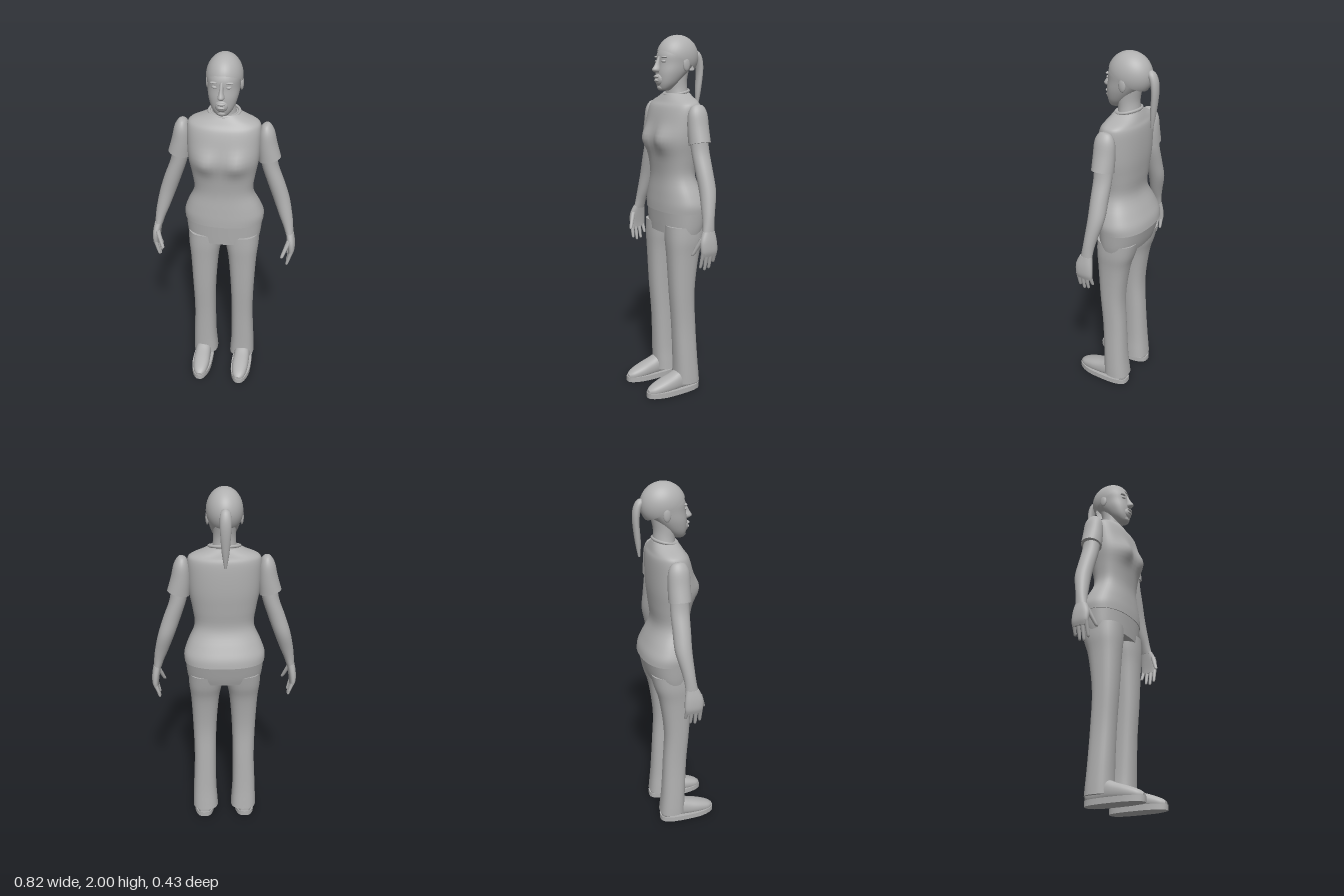
import * as THREE from 'three';

const grey = new THREE.MeshStandardMaterial({ color: 0xb0b0b0, side: THREE.DoubleSide });
grey.name = 'plain grey';

const spline = (a, b, c, d, t) =>
  b + 0.5 * t * (c - a + t * (2 * a - 5 * b + 4 * c - d + t * (3 * (b - c) + d - a)));

// Smooth capped body through oval sections [y, xMin, xMax, zMin, zMax], listed upwards.
function loft(rows, { sides = 28, steps = 4, power = 2, tweak } = {}) {
  const pos = [], idx = [], rings = [];
  const at = (i) => rows[Math.max(0, Math.min(rows.length - 1, i))];
  for (let i = 0; i < rows.length - 1; i++)
    for (let k = 0; k < steps; k++)
      rings.push(at(i).map((_, n) => spline(at(i - 1)[n], at(i)[n], at(i + 1)[n], at(i + 2)[n], k / steps)));
  rings.push(at(rows.length - 1));
  const v = new THREE.Vector3();
  const round = (c) => Math.sign(c) * Math.abs(c) ** (2 / power);
  const addRing = ([y, x0, x1, z0, z1]) => {
    for (let j = 0; j < sides; j++) {
      const a = (j / sides) * Math.PI * 2;
      v.set((x0 + x1) / 2 + ((x1 - x0) / 2) * round(Math.cos(a)), y,
        (z0 + z1) / 2 + ((z1 - z0) / 2) * round(Math.sin(a)));
      if (tweak) tweak(v);
      pos.push(v.x, v.y, v.z);
    }
  };
  rings.forEach(addRing);
  for (let i = 0; i < rings.length - 1; i++)
    for (let j = 0; j < sides; j++) {
      const a = i * sides + j, b = i * sides + ((j + 1) % sides);
      idx.push(a, a + sides, b, b, a + sides, b + sides);
    }
  // Separate cap rings keep the end edges sharp
  [rings[0], rings[rings.length - 1]].forEach((r, top) => {
    const start = pos.length / 3;
    addRing(r);
    v.set((r[1] + r[2]) / 2, r[0], (r[3] + r[4]) / 2);
    if (tweak) tweak(v);
    pos.push(v.x, v.y, v.z);
    for (let j = 0; j < sides; j++) {
      const a = start + j, b = start + ((j + 1) % sides), c = start + sides;
      if (top) idx.push(c, b, a); else idx.push(c, a, b);
    }
  });
  const g = new THREE.BufferGeometry();
  g.setAttribute('position', new THREE.Float32BufferAttribute(pos, 3));
  g.setIndex(idx);
  g.computeVertexNormals();
  return g;
}

// Ovals centred on x: [y, halfWidth, zMin, zMax]
const centred = (rows) => rows.map(([y, w, z0, z1]) => [y, -w, w, z0, z1]);
const flip = (rows, s) => (s > 0 ? rows : rows.map(([y, a, b, c, d]) => [y, -b, -a, c, d]));

export function createModel() {
  const model = new THREE.Group();
  const add = (name, geometry, parent = model) => {
    const m = new THREE.Mesh(geometry, grey);
    m.name = name;
    parent.add(m);
    return m;
  };
  const ball = (name, p, r, parent) =>
    add(name, new THREE.SphereGeometry(1, 20, 14).scale(...r).translate(...p), parent);

  // Shirt with bust
  add('shirt', loft(centred([
    [1.055, 0.22, -0.195, 0.085], [1.1, 0.221, -0.187, 0.084], [1.16, 0.2, -0.16, 0.08],
    [1.25, 0.162, -0.122, 0.075], [1.35, 0.172, -0.13, 0.086], [1.45, 0.19, -0.14, 0.1],
    [1.55, 0.195, -0.142, 0.086], [1.62, 0.194, -0.138, 0.066], [1.65, 0.178, -0.128, 0.045],
    [1.675, 0.12, -0.12, 0.03], [1.695, 0.08, -0.112, 0.018],
  ]), {
    sides: 48, power: 2.3,
    tweak: (v) => {
      const d = ((Math.abs(v.x) - 0.085) / 0.06) ** 2 + ((v.y - 1.45) / 0.06) ** 2;
      if (v.z > 0) v.z += 0.028 * Math.exp(-d);
    },
  }));
  add('collar', new THREE.TorusGeometry(0.08, 0.008, 8, 36).rotateX(Math.PI / 2)
    .scale(1, 1, 0.82).rotateX(0.2).translate(0, 1.697, -0.046));

  // Trousers: hips, then legs
  add('hips', loft(centred([
    [0.935, 0.2, -0.155, 0.073], [0.98, 0.208, -0.17, 0.076], [1.06, 0.216, -0.19, 0.081],
  ]), { sides: 48, power: 2.3 }));

  for (const s of [1, -1]) {
    const side = s > 0 ? 'left' : 'right';
    add(side + 'Leg', loft(flip([
      [0.05, 0.04, 0.19, -0.12, 0.03], [0.1, 0.043, 0.189, -0.115, 0.03], [0.2, 0.049, 0.185, -0.106, 0.032],
      [0.4, 0.05, 0.177, -0.095, 0.04], [0.6, 0.045, 0.181, -0.087, 0.055], [0.8, 0.03, 0.19, -0.112, 0.066],
      [0.9, 0.012, 0.2, -0.142, 0.072], [0.98, 0.002, 0.2, -0.16, 0.072],
    ], s), { power: 2.4 }));

    // Shoe: flat sole and an upper lofted from heel to toe
    const shoe = new THREE.Group();
    shoe.name = side + 'Shoe';
    model.add(shoe);
    const taper = (v) => {
      const t = Math.max(0, (v.z - 0.08) / 0.135);
      v.x += (s * 0.118 - v.x) * 0.3 * t * t;
    };
    add('sole', loft(flip([
      [0, 0.062, 0.184, -0.12, 0.214], [0.03, 0.062, 0.184, -0.12, 0.214],
    ], s), { power: 2.9, steps: 1, tweak: taper }), shoe);
    add('upper', loft(flip([
      [-0.112, 0.095, 0.15, -0.1, -0.02], [-0.09, 0.078, 0.168, -0.12, -0.01], [0, 0.075, 0.17, -0.13, -0.01],
      [0.06, 0.074, 0.172, -0.108, -0.01], [0.12, 0.073, 0.17, -0.088, -0.01],
      [0.18, 0.085, 0.157, -0.064, -0.01], [0.208, 0.105, 0.135, -0.045, -0.02],
    ], s), { power: 2.4 }).rotateX(Math.PI / 2), shoe);

    // Sleeve, with its hem rising outwards
    add(side + 'Sleeve', loft(flip([
      [1.648, 0.208, 0.226, -0.052, -0.03], [1.637, 0.194, 0.242, -0.078, -0.005],
      [1.595, 0.18, 0.264, -0.096, 0.014], [1.52, 0.178, 0.281, -0.1, 0.018], [1.44, 0.186, 0.303, -0.1, 0.018],
    ].reverse(), s), { tweak: (v) => { v.y += 0.25 * (Math.abs(v.x) - 0.24); } }));

    // Bare arm
    add(side + 'Arm', loft(flip([
      [0.99, 0.352, 0.395, -0.05, 0.018], [1.04, 0.335, 0.391, -0.054, 0.01], [1.1, 0.31, 0.383, -0.066, 0.005],
      [1.2, 0.272, 0.362, -0.09, 0], [1.3, 0.236, 0.33, -0.092, 0.003], [1.4, 0.203, 0.293, -0.093, 0.006],
      [1.48, 0.19, 0.28, -0.09, 0.008],
    ], s)));

    // Hand with four fingers and a thumb
    const hand = new THREE.Group();
    hand.name = side + 'Hand';
    model.add(hand);
    add('palm', loft(flip([
      [0.87, 0.373, 0.4, -0.056, 0.034], [0.9, 0.37, 0.408, -0.06, 0.04], [0.95, 0.362, 0.406, -0.058, 0.04],
      [1.0, 0.353, 0.396, -0.05, 0.02],
    ], s), { power: 2.4 }), hand);
    const digit = (name, from, to, r) => {
      const at = (t, k) => {
        const [x, y, z] = from.map((f, i) => f + (to[i] - f) * t);
        return [y, x - r * k, x + r * k, z - r * k, z + r * k];
      };
      add(name, loft(flip([at(1, 0.2), at(0.94, 0.7), at(0.55, 0.9), at(0, 1.1)], s), { sides: 10, steps: 3 }), hand);
    };
    [[0.027, 0.03, 0.805], [0.003, 0.004, 0.79], [-0.021, -0.022, 0.797], [-0.045, -0.05, 0.828]]
      .forEach(([z0, z1, tip], i) => digit('finger' + (i + 1), [0.39, 0.89, z0], [0.368, tip, z1], 0.011));
    digit('thumb', [0.375, 0.965, 0.025], [0.339, 0.87, 0.062], 0.013);
  }

  // Neck
  add('neck', loft(centred([
    [1.65, 0.075, -0.115, 0.012], [1.71, 0.061, -0.108, 0.008], [1.76, 0.058, -0.107, 0.012], [1.82, 0.06, -0.12, 0.01],
  ])));

  // Head and face
  const head = new THREE.Group();
  head.name = 'head';
  model.add(head);
  add('skull', loft(centred([
    [1.708, 0.022, 0.008, 0.05], [1.718, 0.038, -0.012, 0.06], [1.75, 0.06, -0.05, 0.068],
    [1.8, 0.077, -0.1, 0.07], [1.85, 0.084, -0.145, 0.064], [1.9, 0.087, -0.165, 0.06],
    [1.95, 0.072, -0.145, 0.03], [1.985, 0.035, -0.1, -0.01],
  ]), { sides: 36, power: 2.2 }), head);
  add('nose', loft(centred([
    [1.803, 0.01, 0.055, 0.082], [1.817, 0.018, 0.05, 0.102], [1.845, 0.011, 0.045, 0.086], [1.89, 0.009, 0.045, 0.064],
  ]), { sides: 16 }), head);
  ball('mouthArea', [0, 1.768, 0.058], [0.034, 0.034, 0.022], head);
  ball('upperLip', [0, 1.782, 0.077], [0.022, 0.008, 0.011], head);
  ball('lowerLip', [0, 1.762, 0.075], [0.02, 0.008, 0.012], head);
  ball('chin', [0, 1.725, 0.049], [0.025, 0.017, 0.018], head);
  for (const s of [1, -1]) {
    ball('eye', [s * 0.034, 1.862, 0.05], [0.016, 0.008, 0.014], head);
    ball('brow', [s * 0.036, 1.884, 0.051], [0.023, 0.006, 0.012], head);
    ball('ear', [s * 0.087, 1.846, -0.058], [0.01, 0.036, 0.021], head);
  }

  // Swept-back hair with a tilted hairline, and ponytail
  add('hairCap', new THREE.SphereGeometry(1, 40, 20, 0, Math.PI * 2, 0, 1.75)
    .rotateX(-0.5).scale(0.094, 0.116, 0.12).translate(0, 1.884, -0.055), head);
  add('ponytail', loft(centred([
    [1.62, 0.006, -0.19, -0.178], [1.7, 0.019, -0.205, -0.174], [1.8, 0.027, -0.216, -0.18],
    [1.86, 0.029, -0.214, -0.172], [1.9, 0.025, -0.2, -0.158], [1.918, 0.01, -0.182, -0.16],
  ]), { sides: 20 }), head);
  return model;
}
